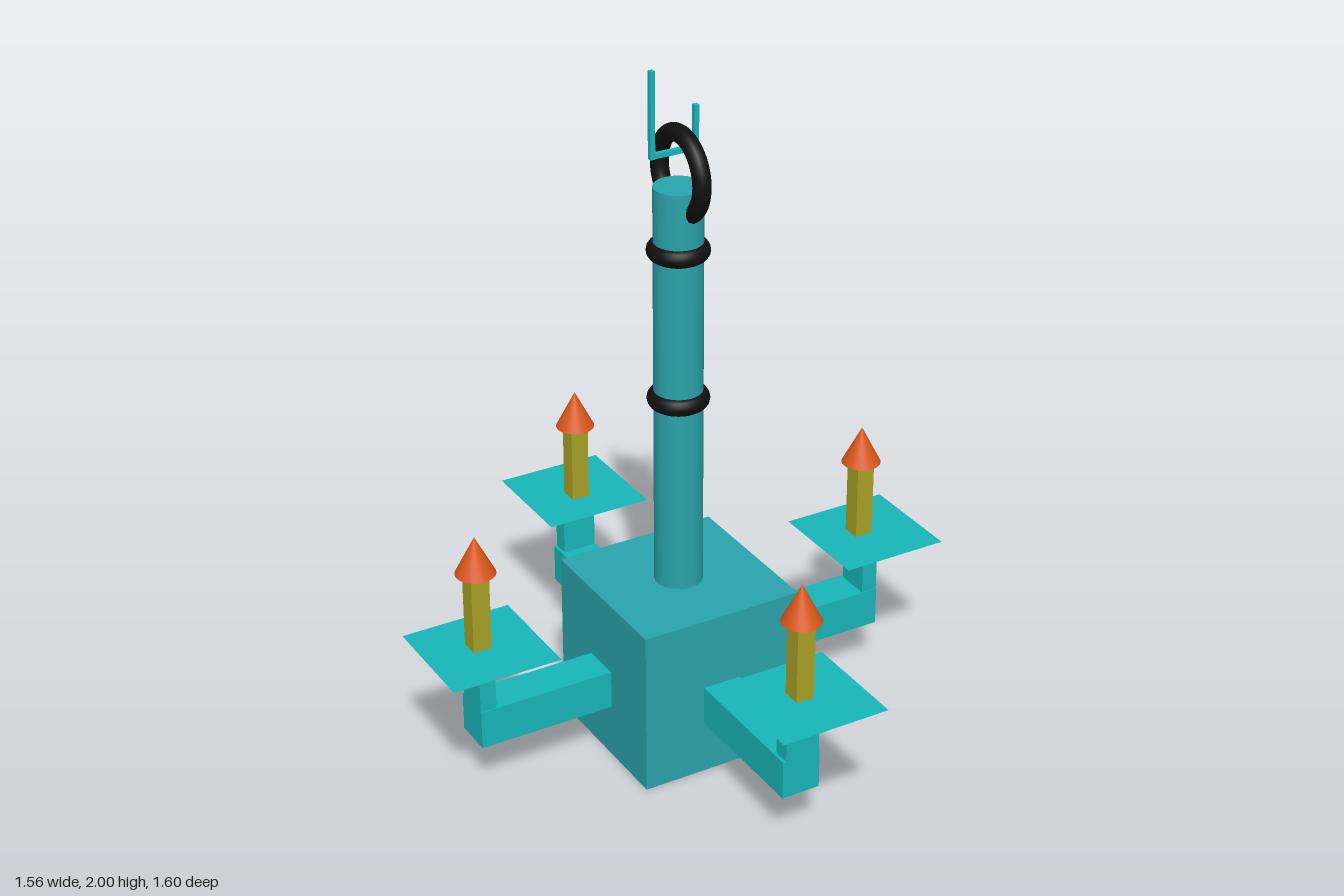
import * as THREE from 'three';

const mat = (color, extra = {}) => {
  const m = new THREE.MeshStandardMaterial({ ...extra });
  m.color.set(color);
  return m;
};

export function createModel() {
  const model = new THREE.Group();
  const stone = mat(0x2aa3ab);
  const teal = mat(0x17b6b9);
  const sheet = mat(0x17b6b9, { side: THREE.DoubleSide });
  const wax = mat(0xa8a225);
  const flameOrange = mat(0xd9571a);
  const black = mat(0x101010);

  const add = (parent, name, geometry, material, x, y, z) => {
    const mesh = new THREE.Mesh(geometry, material);
    mesh.name = name;
    mesh.position.set(x, y, z);
    parent.add(mesh);
    return mesh;
  };

  // Central block and column
  add(model, 'block', new THREE.BoxGeometry(0.483, 0.49, 0.485), stone, -0.007, 0.245, -0.002);
  add(model, 'column', new THREE.CylinderGeometry(0.068, 0.068, 1.2, 32), stone, -0.008, 1.07, 0.001);

  // Bands around the column
  for (const y of [1.055, 1.49]) {
    const band = add(model, 'band', new THREE.TorusGeometry(0.06, 0.026, 16, 48), black, -0.008, y, 0.001);
    band.rotation.x = Math.PI / 2;
  }

  // Hanging ring, standing in the front-to-back plane
  const ring = add(model, 'hangingRing', new THREE.TorusGeometry(0.11, 0.025, 16, 48), black, 0.001, 1.7, -0.004);
  ring.rotation.y = Math.PI / 2;

  // Thin hook through the ring: long stem, crossbar and short tip
  const hook = new THREE.Group();
  hook.name = 'hook';
  const wire = 0.014;
  add(hook, 'hookStem', new THREE.BoxGeometry(wire, 0.24, wire), teal, -0.087, 1.88, 0.001);
  add(hook, 'hookBar', new THREE.BoxGeometry(0.144, wire, wire), teal, -0.022, 1.768, 0.001);
  add(hook, 'hookTip', new THREE.BoxGeometry(wire, 0.125, wire), teal, 0.043, 1.823, 0.001);
  model.add(hook);

  // Four arms; "side" is the sideways offset of the arm, "candle" the candle's [radial, sideways] place
  const arms = [
    { axis: 'x', sign: 1, end: 0.635, side: -0.014, plate: [0.617, -0.002], candle: [0.605, -0.015] },
    { axis: 'x', sign: -1, end: 0.65, side: -0.014, plate: [0.62, -0.002], candle: [0.623, -0.015] },
    { axis: 'z', sign: 1, end: 0.65, side: -0.008, plate: [0.636, 0.003], candle: [0.622, 0] },
    { axis: 'z', sign: -1, end: 0.643, side: -0.008, plate: [0.639, 0.003], candle: [0.617, 0] },
  ];
  for (const { axis, sign, end, side, plate, candle } of arms) {
    const arm = new THREE.Group();
    arm.name = 'candleArm';
    model.add(arm);
    const along = axis === 'x';
    const put = (name, geometry, material, radial, y, across) =>
      along ? add(arm, name, geometry, material, sign * radial, y, across)
        : add(arm, name, geometry, material, across, y, sign * radial);
    const box = (length, height, width) =>
      new THREE.BoxGeometry(along ? length : width, height, along ? width : length);

    // Horizontal beam and upright post
    put('beam', box(end - 0.2, 0.115, 0.114), teal, (end + 0.2) / 2, 0.2175, side);
    put('post', box(0.048, 0.29, 0.102), teal, end - 0.024, 0.305, side + 0.003);

    // Flat drip plate
    const dish = put('dripPlate', new THREE.PlaneGeometry(0.32, 0.32), sheet, plate[0], 0.45, plate[1]);
    dish.rotation.x = -Math.PI / 2;

    // Candle and flame
    put('candle', box(0.054, 0.235, 0.054), wax, candle[0], 0.565, candle[1]);
    put('flame', new THREE.ConeGeometry(0.056, 0.11, 32), flameOrange, candle[0], 0.735, candle[1]);
  }
  return model;
}
